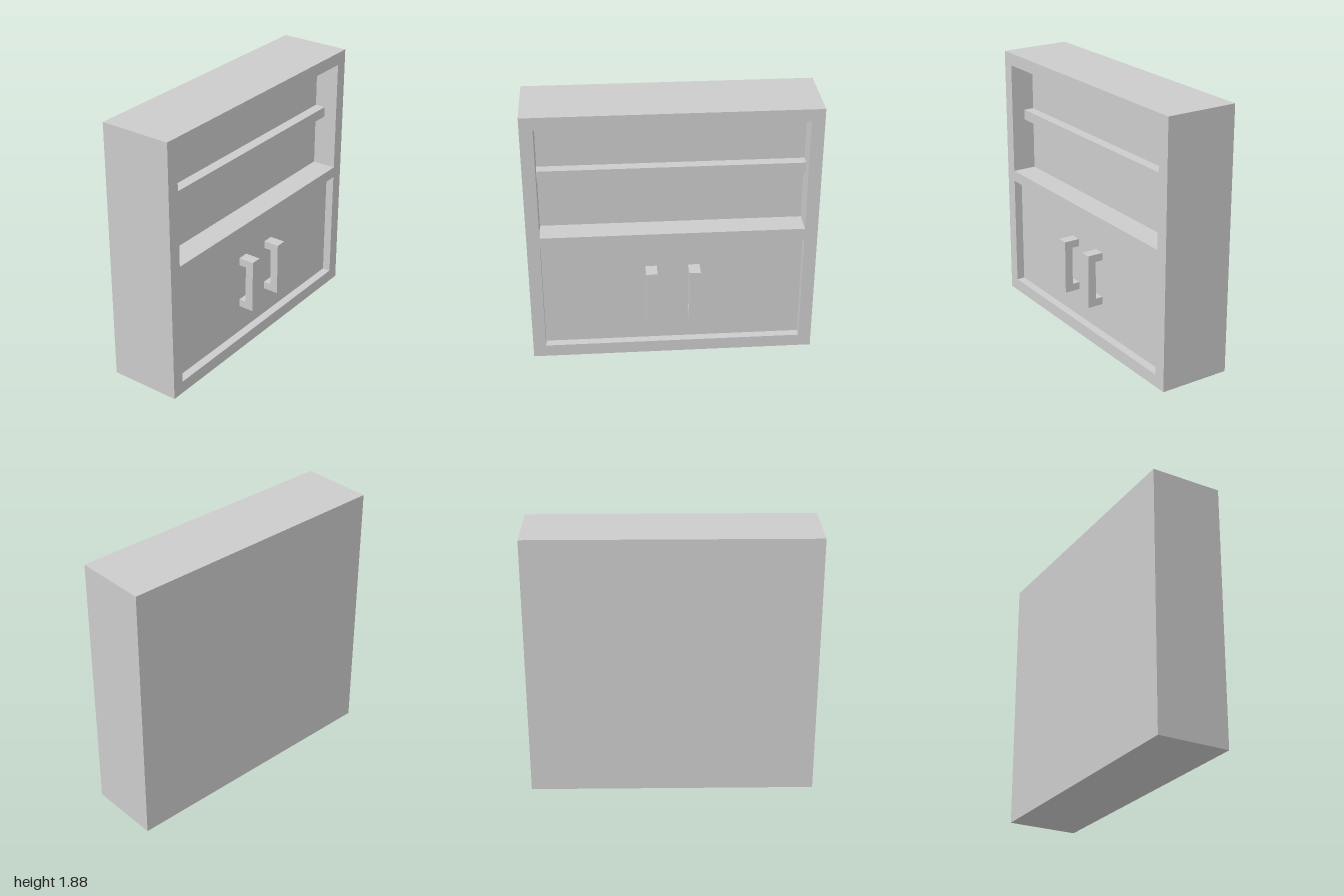
import * as THREE from 'three';

const FRONT = 0.23, BACK = -0.285, HEIGHT = 1.88;
const NICHE_BACK = 0.055, DOOR_FACE = 0.17;
const material = new THREE.MeshStandardMaterial({ color: 0xcccccc, flatShading: true });

// Box given by its extents on each axis
function box(name, [x0, x1], [y0, y1], [z0, z1]) {
  const mesh = new THREE.Mesh(new THREE.BoxGeometry(x1 - x0, y1 - y0, z1 - z0), material);
  mesh.position.set((x0 + x1) / 2, (y0 + y1) / 2, (z0 + z1) / 2);
  mesh.name = name;
  return mesh;
}

function rectangle(Type, x0, x1, y0, y1) {
  return new Type([[x0, y0], [x1, y0], [x1, y1], [x0, y1]].map(([x, y]) => new THREE.Vector2(x, y)));
}

function extrude(name, shape, z0, z1) {
  const geometry = new THREE.ExtrudeGeometry(shape, { depth: z1 - z0, bevelEnabled: false });
  const mesh = new THREE.Mesh(geometry, material);
  mesh.position.z = z0;
  mesh.name = name;
  return mesh;
}

// C-shaped pull: side profile extruded across its width
function handle(name, x) {
  const profile = new THREE.Shape([
    [0, 0], [0.115, 0], [0.115, 0.39], [0, 0.39],
    [0, 0.335], [0.055, 0.335], [0.055, 0.055], [0, 0.055],
  ].map(([z, y]) => new THREE.Vector2(z, y)));
  const geometry = new THREE.ExtrudeGeometry(profile, { depth: 0.08, bevelEnabled: false });
  geometry.translate(0, 0, -0.04).rotateY(-Math.PI / 2);
  const mesh = new THREE.Mesh(geometry, material);
  mesh.position.set(x, 0.3, DOOR_FACE);
  mesh.name = name;
  return mesh;
}

export function createModel() {
  const cabinet = new THREE.Group();
  cabinet.name = 'cabinet';

  // Solid carcass behind the recesses
  cabinet.add(box('carcass', [-1, 1], [0, HEIGHT], [BACK, NICHE_BACK]));

  // Front frame with an upper niche and a lower door opening
  const frame = rectangle(THREE.Shape, -1, 1, 0, HEIGHT);
  frame.holes.push(
    rectangle(THREE.Path, -0.91, 0.91, 0.98, 1.79),
    rectangle(THREE.Path, -0.91, 0.91, 0.09, 0.9),
  );
  cabinet.add(extrude('frontFrame', frame, NICHE_BACK, FRONT));

  // Shelf in the niche and recessed door panel
  cabinet.add(box('shelf', [-0.91, 0.91], [1.365, 1.44], [NICHE_BACK, 0.13]));
  cabinet.add(box('doorPanel', [-0.91, 0.91], [0.09, 0.9], [NICHE_BACK, DOOR_FACE]));

  // Pair of door pulls
  cabinet.add(handle('leftHandle', 0.15), handle('rightHandle', -0.15));

  return cabinet;
}
